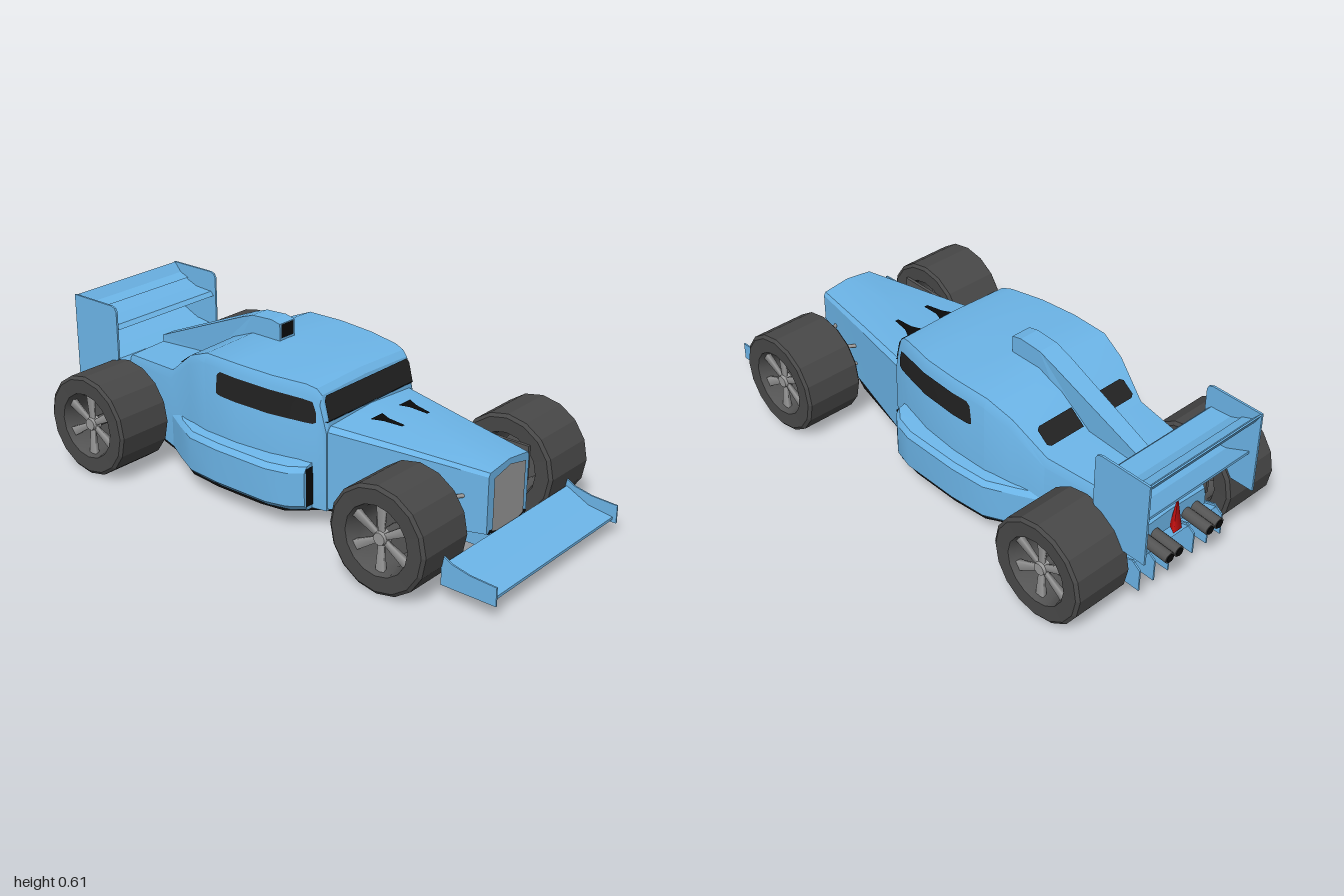
import * as THREE from 'three';
import { toCreasedNormals } from 'three/addons/utils/BufferGeometryUtils.js';

const mat = (color, extra = {}) => new THREE.MeshStandardMaterial({ color, side: THREE.DoubleSide, ...extra });

export function createModel() {
  const car = new THREE.Group();
  car.name = 'openWheelCar';
  const blue = mat(0x6cb5e8), black = mat(0x0a0a0a), glass = mat(0x222222), red = mat(0xcc1111);
  const rubber = mat(0x484848, { flatShading: true }), metal = mat(0x999999), darkMetal = mat(0x555555);

  const add = (name, geo, material, parent = car) => {
    const mesh = new THREE.Mesh(geo, material);
    mesh.name = name;
    parent.add(mesh);
    return mesh;
  };
  const surface = (pos, index) => {
    const g = new THREE.BufferGeometry();
    g.setAttribute('position', new THREE.Float32BufferAttribute(pos, 3));
    g.setIndex(index);
    return toCreasedNormals(g, 0.5);
  };
  // Skin over half sections (bottom centre to top centre), mirrored, front to back
  const loft = (name, material, sections) => {
    const pos = [], index = [];
    const rings = sections.map(([z, half]) =>
      [...half, ...half.slice(1, -1).reverse().map(([x, y]) => [-x, y])].map(([x, y]) => [x, y, z]));
    const n = rings[0].length, last = (rings.length - 1) * n;
    rings.forEach(r => r.forEach(p => pos.push(...p)));
    for (let s = 0; s < rings.length - 1; s++) {
      for (let i = 0; i < n; i++) {
        const a = s * n + i, b = s * n + (i + 1) % n;
        index.push(a, a + n, b, b, a + n, b + n);
      }
    }
    for (let i = 1; i < n - 1; i++) index.push(0, i, i + 1, last, last + i + 1, last + i);
    return add(name, surface(pos, index), material);
  };
  // Thin sheet between two rows of points
  const ribbon = (name, material, A, B) => {
    const pos = [], index = [];
    A.forEach((p, i) => pos.push(...p, ...B[i]));
    for (let i = 0; i < A.length - 1; i++) index.push(2 * i, 2 * i + 1, 2 * i + 2, 2 * i + 2, 2 * i + 1, 2 * i + 3);
    return add(name, surface(pos, index), material);
  };
  // Side outline in (z, y), extruded from x0 to x1
  const prism = (name, material, outline, x0, x1) => {
    const shape = new THREE.Shape(outline.map(([z, y]) => new THREE.Vector2(z, y)));
    const g = new THREE.ExtrudeGeometry(shape, { depth: x1 - x0, bevelEnabled: false });
    g.rotateY(-Math.PI / 2).translate(x1, 0, 0);
    return add(name, g, material);
  };
  const rod = (name, material, from, to, r, sides = 8) => {
    const a = new THREE.Vector3(...from), b = new THREE.Vector3(...to);
    const m = add(name, new THREE.CylinderGeometry(r, r, a.distanceTo(b), sides), material);
    m.position.copy(a).add(b).multiplyScalar(0.5);
    m.quaternion.setFromUnitVectors(new THREE.Vector3(0, 1, 0), b.sub(a).normalize());
    return m;
  };

  // Hood: z, half width, keel, side bottom, side top, crown
  loft('hood', blue, [
    [0.79, 0.115, 0.095, 0.13, 0.335, 0.362],
    [0.5, 0.172, 0.085, 0.105, 0.35, 0.38],
    [0.2, 0.235, 0.07, 0.075, 0.365, 0.398],
  ].map(([z, w, k, b, s, t]) => [z, [[0, k], [w, b], [w, s], [w * 0.93, t - 0.014], [0, t]]]));

  // Cabin and tail: z, half width, bottom, roof
  const cabin = [
    [0.215, 0.238, 0.07, 0.4], [0.19, 0.243, 0.07, 0.5], [0.17, 0.247, 0.07, 0.52], [0.13, 0.257, 0.07, 0.53],
    [0, 0.285, 0.07, 0.535], [-0.15, 0.295, 0.07, 0.54], [-0.3, 0.29, 0.075, 0.54], [-0.4, 0.27, 0.08, 0.5],
    [-0.53, 0.235, 0.09, 0.4], [-0.78, 0.2, 0.14, 0.385], [-0.88, 0.17, 0.19, 0.27],
  ];
  loft('cabinAndTail', blue, cabin.map(([z, w, b, t]) =>
    [z, [[0, b], [w, b], [w, t - 0.04], [w * 0.95, t - 0.008], [0, t]]]));
  const cabinWidth = z => {
    const i = Math.max(1, cabin.findIndex(c => c[0] <= z));
    const [a, b] = [cabin[i - 1], cabin[i]];
    return THREE.MathUtils.mapLinear(z, a[0], b[0], a[1], b[1]);
  };

  // Side pods: z, half width
  loft('sidePods', blue, [
    [0.16, 0.29], [0.11, 0.328], [0.03, 0.348], [-0.2, 0.348], [-0.34, 0.335], [-0.44, 0.285], [-0.53, 0.235],
  ].map(([z, w]) => [z, [[0, 0.07], [w - 0.02, 0.07], [w, 0.09], [w, 0.215], [w - 0.015, 0.235], [0.2, 0.255], [0, 0.255]]]));

  // Windows
  const screenZ = y => 0.22 - (y - 0.4) * 0.25;
  const screen = [[-0.23, 0.405, 0.475], [-0.22, 0.405, 0.49], [0.22, 0.405, 0.49], [0.23, 0.405, 0.475]];
  ribbon('windscreen', glass, screen.map(([x, y]) => [x, y, screenZ(y)]), screen.map(([x, , y]) => [x, y, screenZ(y)]));
  ribbon('cowlGap', black, [[-0.235, 0.401, 0.19], [0.235, 0.401, 0.19]], [[-0.235, 0.401, 0.217], [0.235, 0.401, 0.217]]);
  const rearY = z => 0.505 + (z + 0.4) * 0.77;
  for (const s of [-1, 1]) {
    const pane = [[0.178, 0.395, 0.43], [0.165, 0.388, 0.468], [0.13, 0.388, 0.473], [0, 0.391, 0.481], [-0.15, 0.395, 0.486],
      [-0.22, 0.397, 0.488], [-0.235, 0.4, 0.475], [-0.242, 0.405, 0.42]];
    const side = k => pane.map(p => [s * (cabinWidth(p[0]) + 0.003), p[k], p[0]]);
    ribbon('sideWindow', glass, side(1), side(2));
    const back = [[0.04, -0.455, -0.515], [0.19, -0.455, -0.515], [0.203, -0.463, -0.507]];
    ribbon('rearWindow', glass, back.map(([x, z]) => [s * x, rearY(z), z]), back.map(([x, , z]) => [s * x, rearY(z), z]));

    // Hood vents
    const y = z => 0.403 - (z - 0.2) * 0.06;
    ribbon('hoodVent', black,
      [[s * 0.045, y(0.3), 0.3], [s * 0.06, y(0.34), 0.34], [s * 0.062, y(0.41), 0.41]],
      [[s * 0.11, y(0.3), 0.3], [s * 0.09, y(0.34), 0.34], [s * 0.077, y(0.41), 0.41]]);
    // Side pod intake
    ribbon('podIntake', black, [[s * 0.238, 0.085, 0.163], [s * 0.238, 0.23, 0.163]], [[s * 0.285, 0.085, 0.163], [s * 0.285, 0.23, 0.163]]);
  }

  // Nose grille with dark lower lip
  const hex = pts => new THREE.ShapeGeometry(new THREE.Shape(pts.map(p => new THREE.Vector2(...p))));
  add('grille', hex([[0, 0.105], [0.09, 0.135], [0.09, 0.325], [0, 0.345], [-0.09, 0.325], [-0.09, 0.135]]), metal).position.z = 0.795;
  add('grilleLip', hex([[0, 0.095], [0.115, 0.13], [0.1, 0.142], [0, 0.11], [-0.1, 0.142], [-0.115, 0.13]]), black).position.z = 0.792;

  // Roof scoop running down to the rear wing
  const scoop = prism('roofScoop', blue, [[-0.17, 0.53], [-0.17, 0.602], [-0.21, 0.611], [-0.3, 0.606], [-0.36, 0.585],
    [-0.78, 0.41], [-0.78, 0.38], [-0.53, 0.39], [-0.38, 0.48]], -0.039, 0.039);
  const sp = scoop.geometry.attributes.position;
  for (let i = 0; i < sp.count; i++) if (sp.getZ(i) < -0.5) sp.setX(i, sp.getX(i) * 0.75);
  scoop.geometry.computeVertexNormals();
  add('scoopInlet', new THREE.PlaneGeometry(0.064, 0.052), black).position.set(0, 0.574, -0.168);

  // Floor
  const floor = [[0.11, 0.66, 0.093], [0.17, 0.5, 0.082], [0.23, 0.2, 0.067], [0.32, 0.1, 0.066], [0.335, 0, 0.066],
    [0.335, -0.2, 0.066], [0.32, -0.34, 0.066], [0.235, -0.52, 0.08], [0.22, -0.6, 0.09]];
  ribbon('floor', black, floor.map(([x, z, y]) => [-x, y, z]), floor.map(([x, z, y]) => [x, y, z]));

  // Diffuser and strakes
  ribbon('diffuser', blue, [[-0.21, 0.09, -0.56], [-0.21, 0.13, -0.75], [-0.2, 0.18, -0.91]],
    [[0.21, 0.09, -0.56], [0.21, 0.13, -0.75], [0.2, 0.18, -0.91]]);
  for (const x of [-0.2, -0.13, -0.06, 0.06, 0.13, 0.2]) {
    prism('diffuserStrake', blue, [[-0.48, 0.085], [-0.7, 0.08], [-0.935, 0.075], [-0.935, 0.16], [-0.9, 0.185], [-0.7, 0.12]], x - 0.003, x + 0.003);
  }

  // Front wing
  prism('frontWing', blue, [[0.985, 0.063], [0.985, 0.073], [0.89, 0.087], [0.8, 0.132], [0.8, 0.122], [0.89, 0.075]], -0.357, 0.357);
  // Rear wing elements
  prism('rearWingMain', blue, [[-0.785, 0.49], [-0.8, 0.505], [-0.88, 0.51], [-0.945, 0.535], [-0.945, 0.525], [-0.88, 0.495]], -0.26, 0.26);
  prism('rearWingFlap', blue, [[-0.925, 0.535], [-0.965, 0.55], [-0.995, 0.585], [-1, 0.583], [-0.975, 0.54]], -0.26, 0.26);
  prism('rearBeamWing', blue, [[-0.785, 0.355], [-0.8, 0.37], [-0.88, 0.38], [-0.97, 0.42], [-0.97, 0.41], [-0.88, 0.365]], -0.26, 0.26);

  for (const s of [-1, 1]) {
    prism('frontEndplate', blue, [[1, 0.053], [1, 0.12], [0.9, 0.125], [0.83, 0.14], [0.79, 0.163], [0.79, 0.053]], s * 0.358 - 0.003, s * 0.358 + 0.003);
    prism('frontWingStrut', blue, [[0.9, 0.08], [0.8, 0.125], [0.74, 0.14], [0.35, 0.085], [0.5, 0.065], [0.8, 0.068]], s * 0.095 - 0.004, s * 0.095 + 0.004);
    prism('rearEndplate', blue, [[-0.775, 0.385], [-0.775, 0.565], [-0.782, 0.58], [-0.8, 0.586], [-1, 0.586], [-1, 0.27],
      [-0.87, 0.27], [-0.84, 0.3]], s * 0.26 - 0.004, s * 0.26 + 0.004);

    // Twin exhausts
    for (const x of [0.075, 0.12]) {
      rod('exhaustPipe', darkMetal, [s * x, 0.215, -0.78], [s * x, 0.2, -0.985], 0.021, 12);
      rod('exhaustBore', black, [s * x, 0.2, -0.98], [s * x, 0.2, -0.988], 0.016, 12);
    }

    // Suspension and wheels
    for (const [z, inner] of [[0.615, 0.13], [-0.735, 0.19]]) {
      for (const d of [-0.09, 0.09]) {
        rod('upperArm', metal, [s * inner, 0.25, z + d], [s * 0.245, 0.25, z + d * 0.15], 0.007);
        rod('lowerArm', metal, [s * inner, 0.17, z + d], [s * 0.245, 0.17, z + d * 0.15], 0.007);
      }
      rod('pushRod', metal, [s * inner, 0.165, z - 0.02], [s * 0.24, 0.225, z - 0.02], 0.009);
      add('upright', new THREE.BoxGeometry(0.012, 0.13, 0.2), darkMetal).position.set(s * 0.236, 0.235, z);
      rod('axle', darkMetal, [s * 0.23, 0.195, z], [s * 0.44, 0.195, z], 0.02);

      const wheel = new THREE.Group();
      wheel.name = z > 0 ? 'frontWheel' : 'rearWheel';
      const ring = pts => new THREE.LatheGeometry(pts.map(p => new THREE.Vector2(...p)), 16);
      add('tire', ring([[0.125, -0.115], [0.18, -0.117], [0.192, -0.108], [0.192, 0.108], [0.18, 0.117], [0.125, 0.115]]), rubber, wheel);
      add('rimBarrel', ring([[0.125, -0.115], [0.115, -0.09], [0.11, 0.06], [0.125, 0.115]]), darkMetal, wheel);
      add('brakeDisc', new THREE.CylinderGeometry(0.085, 0.085, 0.015, 16), darkMetal, wheel);
      add('hub', new THREE.CylinderGeometry(0.022, 0.03, 0.03, 12), metal, wheel).position.y = 0.085;
      for (let i = 0; i < 6; i++) {
        const spoke = new THREE.Group();
        const bar = add('spoke', new THREE.CylinderGeometry(0.024, 0.014, 0.105, 4, 1).rotateY(Math.PI / 4).scale(1, 1, 0.5), metal, spoke);
        bar.rotation.z = -Math.PI / 2;
        bar.rotation.x = Math.PI / 2;
        bar.position.x = 0.067;
        spoke.position.y = 0.085;
        spoke.rotation.y = i * Math.PI / 3;
        wheel.add(spoke);
      }
      wheel.position.set(s * 0.357, 0.193, z);
      wheel.rotation.z = -s * Math.PI / 2;
      car.add(wheel);
    }
  }

  // Rear light
  const light = add('rainLight', new THREE.ConeGeometry(0.024, 0.14, 3), red);
  light.position.set(0, 0.265, -0.9);
  return car;
}
